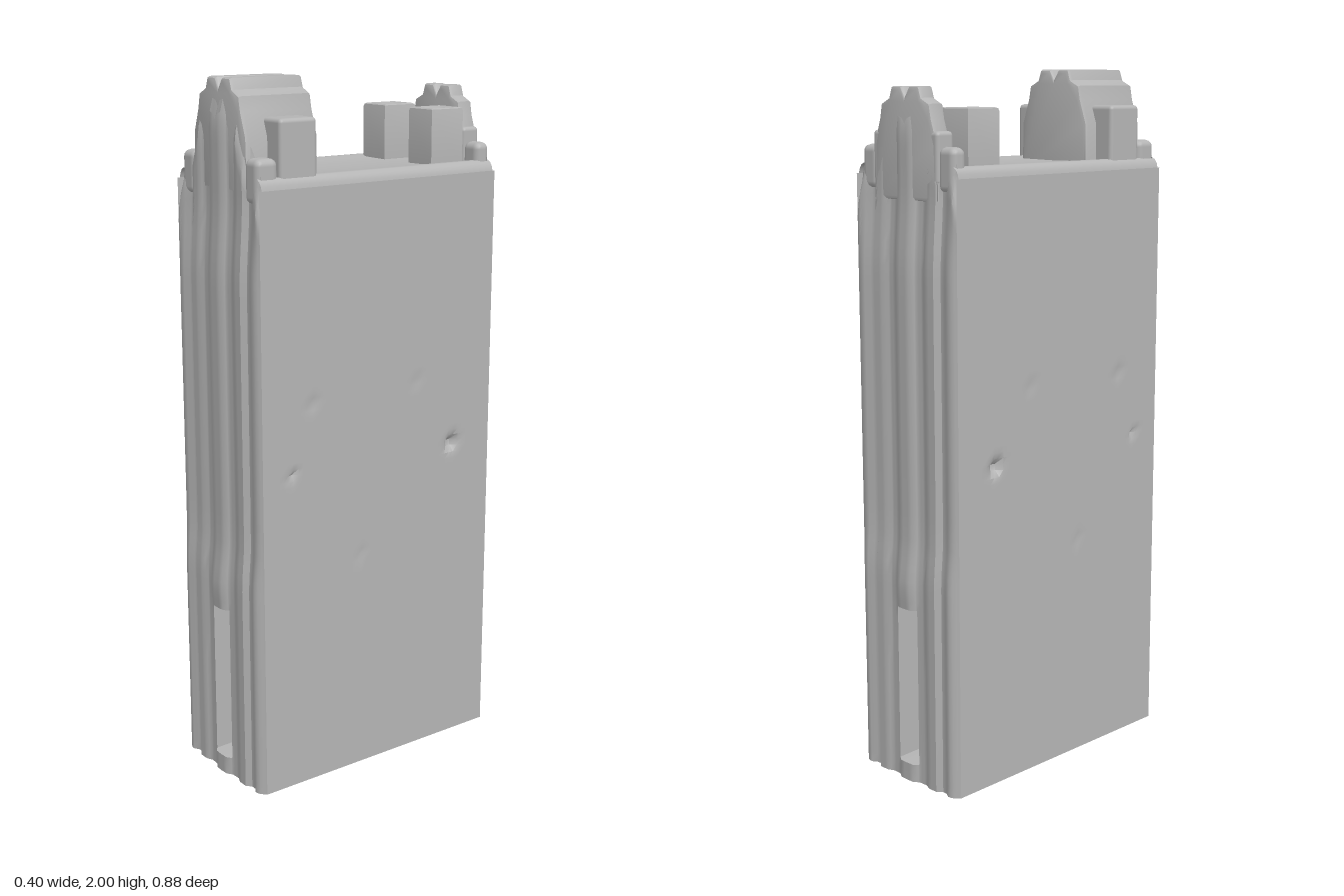
import * as THREE from 'three';
import { toCreasedNormals } from 'three/addons/utils/BufferGeometryUtils.js';
import { RoundedBoxGeometry } from 'three/addons/geometries/RoundedBoxGeometry.js';

const stone = new THREE.MeshStandardMaterial({ color: 0xb4b4b4, side: THREE.DoubleSide });
stone.name = 'grey stone';

// Linear lookup in a list of [position, value] pairs
function lookup(table, t) {
  for (let i = 1; i < table.length; i++) {
    const [a, va] = table[i - 1], [b, vb] = table[i];
    if (t <= b) return va + (vb - va) * (t - a) / (b - a);
  }
  return table[table.length - 1][1];
}

const range = (a, b, n) => Array.from({ length: n + 1 }, (_, i) => a + (b - a) * i / n);

// Open sheet over a grid: u runs right, v runs up, seen from its front
function sheet(us, vs, point) {
  const positions = [], index = [], w = us.length;
  for (const v of vs) for (const u of us) positions.push(...point(u, v));
  for (let j = 0; j < vs.length - 1; j++) {
    for (let i = 0; i < w - 1; i++) {
      const a = j * w + i, b = a + 1, c = a + w, d = c + 1;
      index.push(a, b, d, a, d, c);
    }
  }
  const g = new THREE.BufferGeometry();
  g.setAttribute('position', new THREE.Float32BufferAttribute(positions, 3));
  g.setIndex(index);
  return toCreasedNormals(g, 0.7);
}

// Ribbed end wall with a tall niche and a stepped top
const ribs = [[0, 0.425], [0.025, 0.424], [0.042, 0.412], [0.07, 0.411], [0.09, 0.42],
  [0.12, 0.42], [0.135, 0.407], [0.15, 0.407], [0.165, 0.417], [0.185, 0.417], [0.2, 0.408]];
const crest = [[0, 1.965], [0.015, 1.99], [0.05, 1.985], [0.062, 1.955], [0.09, 1.94], [0.1, 1.9],
  [0.12, 1.85], [0.135, 1.8], [0.175, 1.79], [0.185, 1.75], [0.2, 1.7]];

function facadeGeometry(drop) {
  const half = [0.01, 0.025, 0.0385, 0.041, 0.052, 0.062, 0.07, 0.08, 0.09, 0.1, 0.11, 0.12,
    0.135, 0.15, 0.165, 0.175, 0.185, 0.193, 0.2];
  const xs = [...half.map(x => -x).reverse(), 0, ...half];
  const ys = [0, 0.03, 0.053, 0.056, ...range(0.1, 0.48, 5), 0.514, 0.517, 0.54, 0.57, 0.6, 0.64, 0.68, 0.72,
    ...range(0.8, 1.4, 6), ...range(1.45, 2, 14)];
  return sheet(xs, ys, (x, v) => {
    const ax = Math.abs(x);
    const top = Math.max(lookup(crest, ax) - (ax < 0.13 ? drop : 0), 1.7);
    const y = v <= 1.4 ? v : 1.4 + (v - 1.4) * (top - 1.4) / 0.6;
    let z = lookup(ribs, ax);
    const inner = 1 - THREE.MathUtils.smoothstep(ax, 0.17, 0.2);
    z += 0.009 * inner * (1 - THREE.MathUtils.smoothstep(y, 0.6, 0.75));            // thicker base
    z += 0.006 * Math.exp(-((y - 0.58) ** 2) / 0.003 - ax * ax / 0.0015);            // hood above niche
    z -= 0.012 * inner * THREE.MathUtils.smoothstep(y, 1.45, 1.7);                  // upper set-back
    z -= 0.02 * THREE.MathUtils.smoothstep(y, top - 0.1, top);                      // rounded top
    if (ax < 0.04 && y > 0.055 && y < 0.515) z = 0.345;                             // niche
    return [x, y, z];
  });
}

// Stepped crown rising over the roof behind an end wall
function crownGeometry(top, width, depth) {
  const steps = [[1, -0.3], [0.97, -0.15], [0.8, -0.085], [0.74, -0.045], [0.5, -0.03], [0.42, 0], [0.12, 0]];
  const right = steps.map(([x, y]) => new THREE.Vector2(x * width, top + y));
  const left = right.map(p => new THREE.Vector2(-p.x, p.y)).reverse();
  const shape = new THREE.Shape([...right, new THREE.Vector2(0, top - 0.025), ...left]);
  const bevel = 0.012;
  const g = new THREE.ExtrudeGeometry(shape, { depth: depth - 2 * bevel, bevelThickness: bevel,
    bevelSize: bevel, bevelOffset: -bevel, bevelSegments: 2 });
  g.translate(0, 0, bevel);
  return toCreasedNormals(g, 0.7);
}

export function createModel() {
  const model = new THREE.Group();
  const add = (name, geometry, x = 0, y = 0, z = 0) => {
    const mesh = new THREE.Mesh(geometry, stone);
    mesh.name = name;
    mesh.position.set(x, y, z);
    model.add(mesh);
    return mesh;
  };
  const block = (name, w, d, bottom, top, x, z, r = 0.012) =>
    add(name, new RoundedBoxGeometry(w, top - bottom, d, 2, r), x, (top + bottom) / 2, z);

  // Side walls with a few small chips, open at the bottom
  const chips = [[-0.265, 0.93, 0.03, 0.03], [0.31, 0.935, 0.015, 0.018], [0.24, 1.13, 0.006, 0.025],
    [-0.13, 1.14, 0.004, 0.025], [0.07, 0.66, 0.004, 0.02]];
  for (const s of [-1, 1]) {
    const wall = sheet(range(-0.408, 0.408, 48), [0, 0.3, 0.6, ...range(0.64, 1.2, 32), 1.45, 1.72], (u, y) => {
      const z = -s * u;
      let x = 0.2;
      for (const [cz, cy, deep, r] of chips) x -= deep * Math.max(0, 1 - Math.hypot(z - cz, y - cy) / r);
      return [s * x, y, z];
    });
    add(s > 0 ? 'leftWall' : 'rightWall', wall);
  }

  // Roof with rounded long edges and a faint hollow
  const roofEdge = [[0, 1.742], [0.14, 1.744], [0.165, 1.75], [0.18, 1.749], [0.19, 1.743], [0.197, 1.732], [0.2, 1.72]];
  const roofHalf = roofEdge.slice(1).map(p => p[0]);
  add('roof', sheet([...roofHalf.map(x => -x).reverse(), 0, ...roofHalf], [-0.4, 0.4],
    (x, v) => [x, lookup(roofEdge, Math.abs(x)), -v]));

  // End walls
  add('frontFacade', facadeGeometry(0));
  add('backFacade', facadeGeometry(0.04)).rotation.y = Math.PI;

  // Crowns: a deep one at the front, a thin one at the back
  add('frontCrown', crownGeometry(2, 0.13, 0.235), 0, 0, 0.165);
  add('backCrown', crownGeometry(1.955, 0.13, 0.055), 0, 0, -0.408);

  // Square flue with a pit in its top
  const flue = toCreasedNormals(new THREE.LatheGeometry([[0.0707, 0], [0.0707, 0.15], [0.068, 0.157], [0.06, 0.16],
    [0.022, 0.15], [0.014, 0.11], [0, 0.11]].map(p => new THREE.Vector2(...p)), 4, Math.PI / 4), 0.5);

  for (const s of [-1, 1]) {
    const side = s > 0 ? 'left' : 'right';
    add(side + 'Chimney', flue, s * 0.105, 1.74, -0.265).scale.z = 1.15;
    block(side + 'CrownShoulder', 0.09, 0.12, 1.7, 1.9, s * 0.14, 0.27);
    block(side + 'FrontPinnacle', 0.065, 0.07, 1.68, 1.8, s * 0.152, 0.368, 0.02);
    block(side + 'BackPinnacle', 0.065, 0.05, 1.68, 1.8, s * 0.152, -0.378, 0.02);
    block(side + 'BackShoulder', 0.035, 0.06, 1.7, 1.84, s * 0.112, -0.378);
  }
  return model;
}
